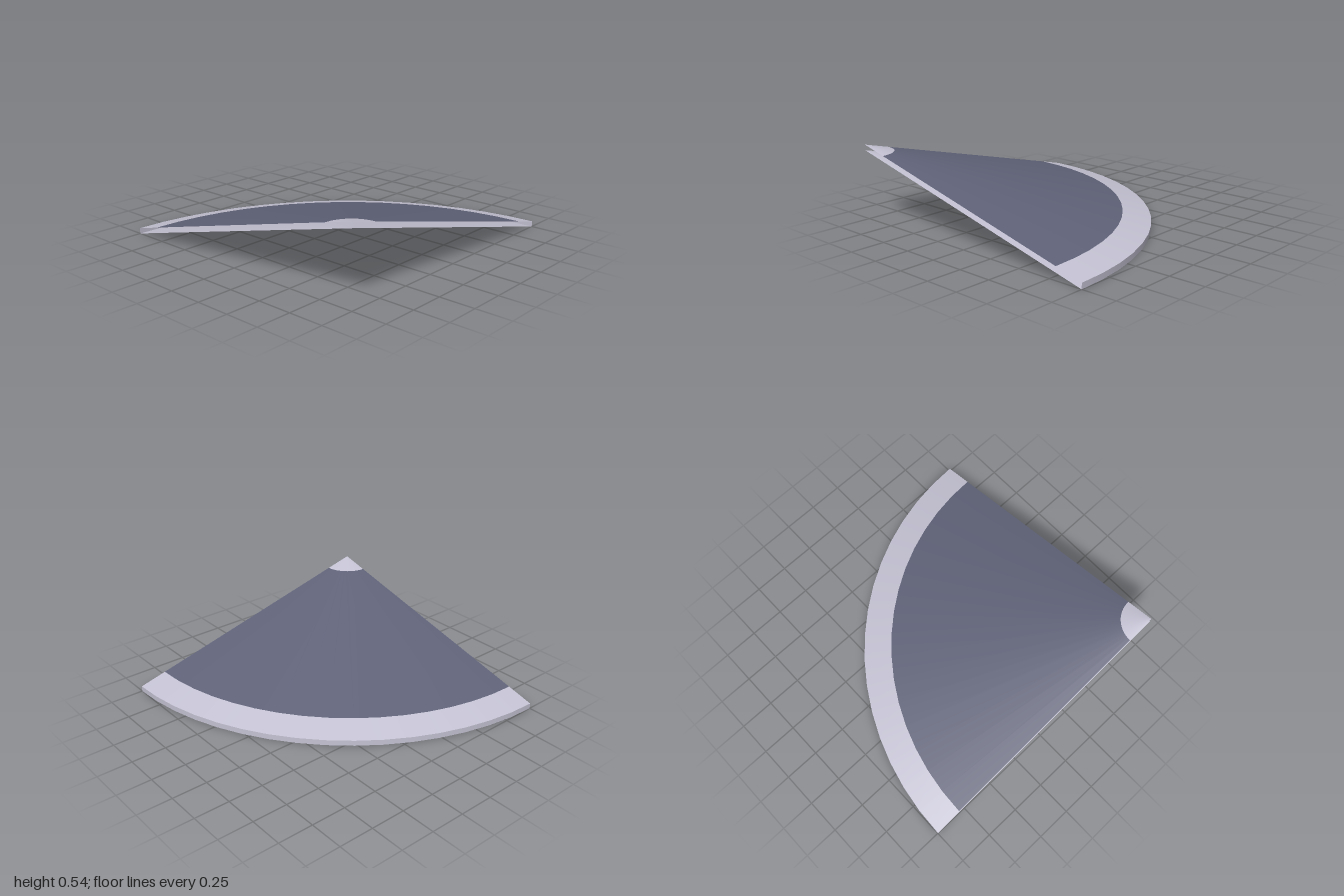
import * as THREE from 'three';

const RADIUS = 2;      // plan radius of the quarter cone
const RISE = 0.5;      // height from rim to apex
const GAP = 0.04;      // distance between upper and lower skins
const SEGMENTS = 16;

export function createModel() {
  const lavender = new THREE.MeshStandardMaterial({ color: 0xc6c4d5, side: THREE.DoubleSide });
  lavender.name = 'pale lavender';
  const slate = new THREE.MeshStandardMaterial({ color: 0x61647a, side: THREE.DoubleSide });
  slate.name = 'slate blue';

  const group = new THREE.Group();
  group.name = 'quarterConeRoof';

  // Height of the sloping skin at a given distance from the apex
  const slope = (r) => RISE * (1 - r / RADIUS);

  // Quarter-turn band swept between two profile points, apex at the front left corner
  function band(name, material, r0, y0, r1, y1) {
    const profile = [new THREE.Vector2(r0, y0), new THREE.Vector2(r1, y1)];
    const geometry = new THREE.LatheGeometry(profile, SEGMENTS, Math.PI, Math.PI / 2);
    const mesh = new THREE.Mesh(geometry, material);
    mesh.name = name;
    mesh.position.set(1, 0, 1);
    group.add(mesh);
  }

  // Upper skin: pale border, slate field, pale apex cap
  const upper = (name, material, outer, inner) =>
    band(name, material, outer, slope(outer) + GAP, inner, slope(inner) + GAP);
  upper('outerBorder', lavender, RADIUS, 1.8);
  upper('slateField', slate, 1.8, 0.2);
  upper('apexCap', lavender, 0.2, 0);

  // Curved rim wall and lower skin; the straight sides stay open
  band('rimWall', lavender, RADIUS, 0, RADIUS, GAP);
  band('underside', lavender, 0, RISE, RADIUS, 0);

  return group;
}
